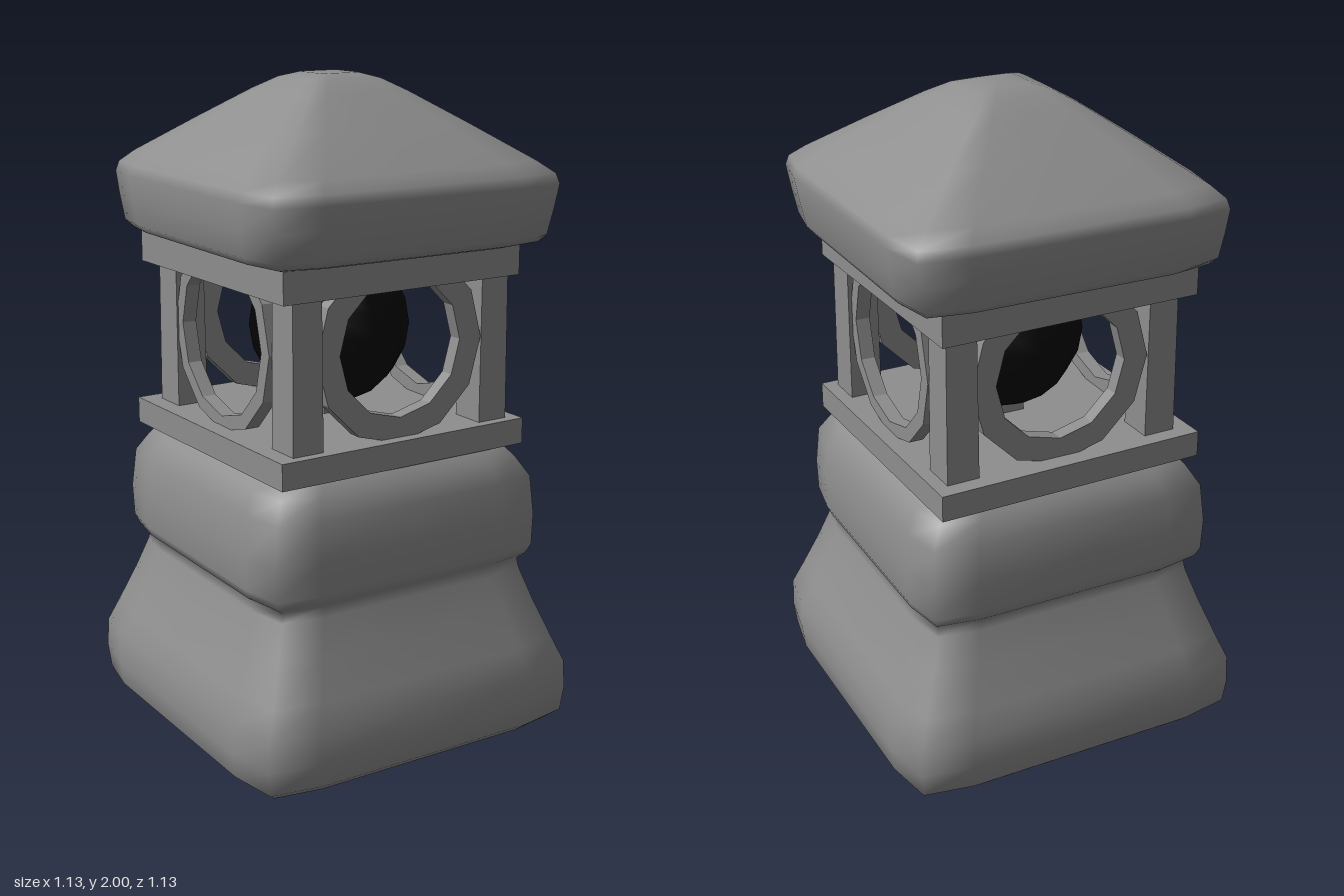
import * as THREE from 'three';

const stone = new THREE.MeshStandardMaterial({ color: 0x8e8e8e });
const stoneFlat = new THREE.MeshStandardMaterial({ color: 0x8e8e8e, flatShading: true });
const black = new THREE.MeshStandardMaterial({ color: 0x040404 });

// One side of a soft-cornered square; turned four times it makes a cross-section
const SIDE = [[1, 0], [1, 0.67], [0.95, 0.95], [0.67, 1]];

// Skin of stacked cross-sections, each row: [y, halfWidth, centreX, centreZ]
function softLoft(rows) {
  const pos = [], idx = [], n = SIDE.length * 4;
  for (const [y, h, cx = 0, cz = 0] of rows) {
    for (let q = 0; q < 4; q++) {
      for (const [a, b] of SIDE) {
        const [x, z] = [[a, b], [-b, a], [-a, -b], [b, -a]][q];
        pos.push(cx + x * h, y, cz + z * h);
      }
    }
  }
  for (let r = 0; r < rows.length - 1; r++) {
    for (let i = 0; i < n; i++) {
      const a = r * n + i, b = r * n + (i + 1) % n;
      idx.push(a, a + n, b, b, a + n, b + n);
    }
  }
  // End caps
  const last = rows.length - 1, c = rows.length * n;
  for (const r of [0, last]) pos.push(rows[r][2] ?? 0, rows[r][0], rows[r][3] ?? 0);
  for (let i = 0; i < n; i++) {
    const j = (i + 1) % n;
    idx.push(c, i, j, c + 1, last * n + j, last * n + i);
  }
  const g = new THREE.BufferGeometry();
  g.setAttribute('position', new THREE.Float32BufferAttribute(pos, 3));
  g.setIndex(idx);
  g.computeVertexNormals();
  return g;
}

// Twelve-sided flat ring with a round window
function windowRing(outer, inner, depth) {
  const loop = r => Array.from({ length: 12 }, (_, i) =>
    new THREE.Vector2(r * Math.cos(i * Math.PI / 6), r * Math.sin(i * Math.PI / 6)));
  const shape = new THREE.Shape(loop(outer));
  shape.holes.push(new THREE.Path(loop(inner)));
  return new THREE.ExtrudeGeometry(shape, { depth, bevelEnabled: false }).translate(0, 0, -depth / 2);
}

export function createModel() {
  const model = new THREE.Group();
  const add = (parent, name, geometry, material, x = 0, y = 0, z = 0) => {
    const m = new THREE.Mesh(geometry, material);
    m.name = name;
    m.position.set(x, y, z);
    parent.add(m);
    return m;
  };

  // Flared foot, pinched waist and rounded shoulder
  add(model, 'base', softLoft([
    [0, 0.48], [0.008, 0.525], [0.035, 0.555], [0.11, 0.563], [0.2, 0.56], [0.28, 0.528],
    [0.4, 0.482], [0.5, 0.448], [0.53, 0.443], [0.55, 0.465, -0.005], [0.58, 0.478, -0.005],
    [0.68, 0.481, -0.006], [0.8, 0.47, -0.005], [0.86, 0.434, -0.005], [0.9, 0.4, -0.005], [0.91, 0.37, -0.005],
  ]), stone);

  // Hipped roof with a soft eave
  add(model, 'roof', softLoft([
    [1.51, 0.44, 0.008, -0.004], [1.518, 0.465, 0.008, -0.004], [1.54, 0.485, 0.006, -0.004],
    [1.62, 0.498, 0.008, -0.004], [1.69, 0.507, 0.01, -0.004], [1.72, 0.498, 0.01, -0.004],
    [1.755, 0.458, 0.006, -0.003], [1.86, 0.308, 0.002], [1.95, 0.175], [1.985, 0.115], [2, 0.065],
  ]), stone);

  // Lamp chamber frame, sitting slightly askew on the base
  const frame = new THREE.Group();
  frame.name = 'chamberFrame';
  frame.rotation.y = 0.025;
  model.add(frame);
  add(frame, 'lowerSlab', new THREE.BoxGeometry(0.86, 0.08, 0.86), stoneFlat, -0.004, 0.935, -0.01);
  add(frame, 'upperSlab', new THREE.BoxGeometry(0.825, 0.1, 0.825), stoneFlat, -0.003, 1.465, -0.01);

  // Corner posts, slightly wider at the foot
  for (const sx of [-1, 1]) {
    for (const sz of [-1, 1]) {
      const g = new THREE.BoxGeometry(0.096, 0.46, 0.106);
      const p = g.attributes.position;
      for (let i = 0; i < p.count; i++) {
        if (p.getY(i) < 0) p.setXYZ(i, p.getX(i) * 1.06, p.getY(i), p.getZ(i) * 1.06);
      }
      add(frame, 'cornerPost', g, stoneFlat, 0.003 + sx * 0.33, 1.195, sz * 0.332);
    }
  }

  // Ring windows on all four sides; those at the sides open wider
  for (const s of [-1, 1]) {
    add(model, 'ringWindow', windowRing(0.285, 0.208, 0.045), stoneFlat, 0.004, 1.243, s * 0.36);
    add(model, 'sideRingWindow', windowRing(0.285, 0.24, 0.045), stoneFlat, s * 0.355, 1.245, 0).rotation.y = Math.PI / 2;
  }

  // Dark lamp globe on a small stand
  add(model, 'lampGlobe', new THREE.SphereGeometry(0.245, 12, 10), black, 0, 1.245, 0);
  add(model, 'lampStand', new THREE.BoxGeometry(0.1, 0.06, 0.1), stoneFlat, 0, 0.995, 0);

  return model;
}
